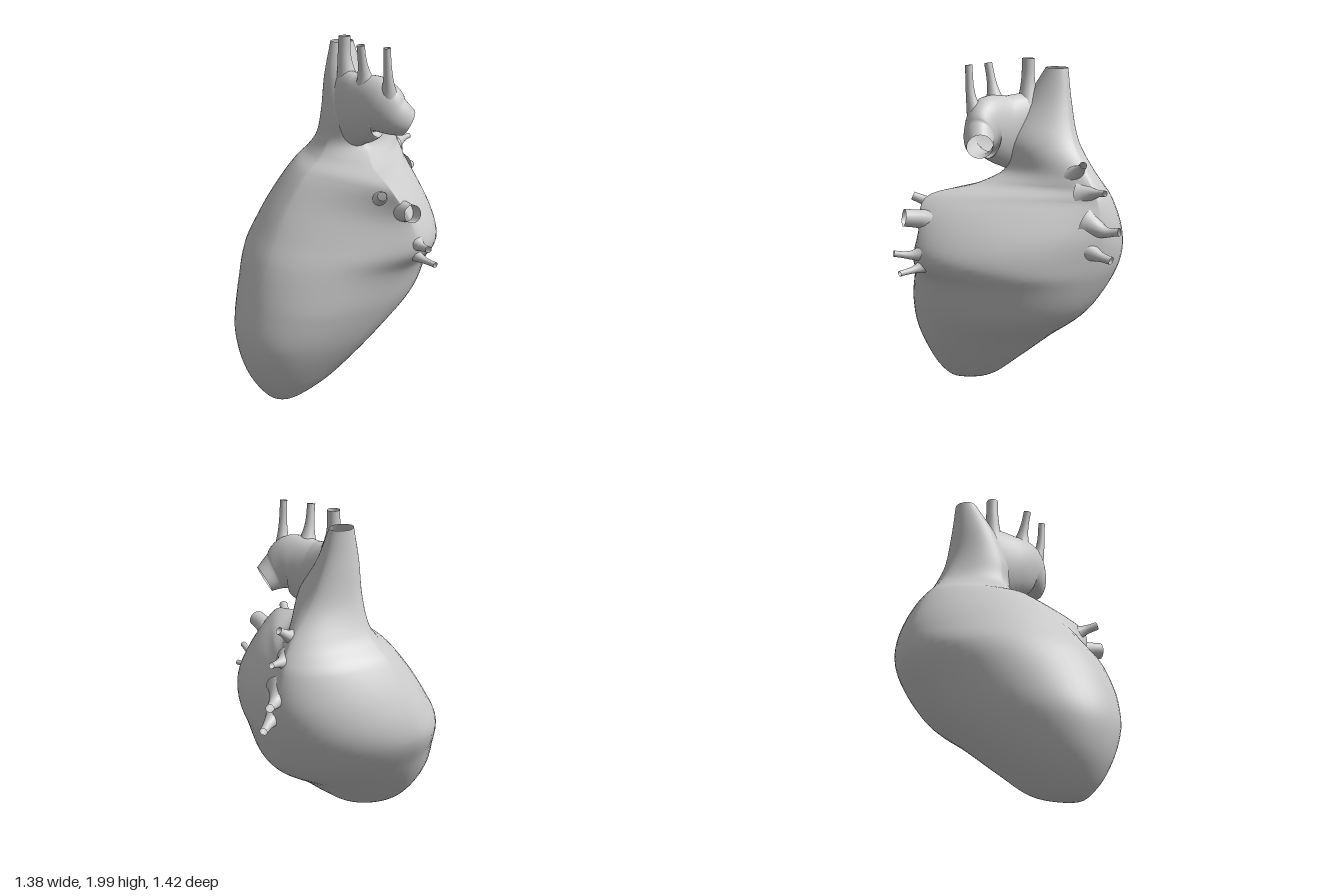
import * as THREE from 'three';

const material = new THREE.MeshStandardMaterial({ color: 0xcccccc, side: THREE.DoubleSide });

// Smooth skin over closed rings of points
function loft(name, rings) {
  const n = rings[0].length, index = [];
  for (let i = 0; i < rings.length - 1; i++) {
    for (let j = 0; j < n; j++) {
      const a = i * n + j, b = i * n + (j + 1) % n;
      index.push(a, b, b + n, a, b + n, a + n);
    }
  }
  const geometry = new THREE.BufferGeometry().setFromPoints(rings.flat());
  geometry.setIndex(index);
  geometry.computeVertexNormals();
  const mesh = new THREE.Mesh(geometry, material);
  mesh.name = name;
  return mesh;
}

// Open tube along a path; radii(t) gives [sideways, upward] radius
function vessel(name, path, radii, sides = 20, steps = 16) {
  const curve = new THREE.CatmullRomCurve3(path.map(p => new THREE.Vector3(...p)));
  const span = curve.getPoint(1).sub(curve.getPoint(0)).normalize();
  const ref = Math.abs(span.y) > 0.7 ? new THREE.Vector3(0, 0, 1) : new THREE.Vector3(0, 1, 0);
  const rings = [];
  for (let i = 0; i <= steps; i++) {
    const t = i / steps, tangent = curve.getTangent(t), centre = curve.getPoint(t);
    const side = tangent.clone().cross(ref).normalize();
    const up = side.clone().cross(tangent);
    const [rs, ru] = radii(t);
    rings.push(Array.from({ length: sides }, (_, j) => {
      const a = j / sides * Math.PI * 2;
      return centre.clone().addScaledVector(side, rs * Math.cos(a)).addScaledVector(up, -ru * Math.sin(a));
    }));
  }
  return loft(name, rings);
}

// Heart body levels: y, then x,z of the right, front, left and back extremes,
// then the fullness of the left half (2 is round, 1 is flat)
const levels = [
  [0.00, 0, 0.49, 0, 0.49, 0, 0.49, 0, 0.49, 2],
  [0.02, -0.085, 0.47, 0, 0.55, 0.075, 0.47, 0, 0.39, 2],
  [0.10, -0.20, 0.42, 0, 0.625, 0.165, 0.42, 0, 0.175, 2.1],
  [0.22, -0.32, 0.34, 0, 0.685, 0.25, 0.34, 0, 0.015, 2.2],
  [0.40, -0.46, 0.22, 0, 0.71, 0.355, 0.22, -0.05, -0.20, 2.2],
  [0.60, -0.58, 0.10, 0, 0.66, 0.435, 0.11, -0.10, -0.46, 2.1],
  [0.80, -0.68, 0.03, -0.02, 0.575, 0.49, 0.04, -0.17, -0.56, 1.85],
  [0.93, -0.68, -0.02, -0.05, 0.49, 0.57, -0.03, -0.22, -0.595, 1.6],
  [1.08, -0.63, -0.05, -0.08, 0.38, 0.545, -0.005, -0.24, -0.61, 1.4],
  [1.25, -0.535, -0.08, -0.10, 0.23, 0.465, 0.07, -0.24, -0.575, 1.15],
  [1.32, -0.475, -0.10, -0.12, 0.12, 0.18, -0.02, -0.23, -0.54, 1.2],
  [1.40, -0.415, -0.12, -0.13, 0.06, 0.04, -0.10, -0.22, -0.48, 1.4],
  [1.55, -0.355, -0.13, -0.14, 0.04, 0.04, -0.09, -0.22, -0.35, 1.7],
  [1.75, -0.33, -0.14, -0.19, 0.00, -0.09, -0.10, -0.24, -0.265, 2],
  [1.94, -0.315, -0.145, -0.255, -0.075, -0.195, -0.15, -0.255, -0.215, 2],
];

function heartBody() {
  const corners = [1, 3, 5, 7].map(k =>
    new THREE.CatmullRomCurve3(levels.map(l => new THREE.Vector3(l[k], l[0], l[k + 1]))));
  const rings = [], steps = 84, arc = 16, mix = THREE.MathUtils.lerp;
  for (let i = 0; i <= steps; i++) {
    const f = i / steps * (levels.length - 1), low = Math.min(levels.length - 2, Math.floor(f));
    const fullness = mix(levels[low][9], levels[low + 1][9], f - low);
    // Right front is fuller low down; left back is flattened throughout
    const power = [0.4 * fullness + 1.08, fullness, Math.min(fullness, 1.75), 1.78];
    const p = corners.map(c => c.getPoint(i / steps)), ring = [];
    for (let q = 0; q < 4; q++) {
      const a = p[q], b = p[(q + 1) % 4];
      for (let j = 0; j < arc; j++) {
        // Quarter of a superellipse from one extreme to the next
        const angle = j / arc * Math.PI / 2;
        const c = Math.pow(Math.cos(angle), 2 / power[q]);
        const s = Math.pow(Math.sin(angle), 2 / power[q]);
        const y = mix(a.y, b.y, j / arc);
        ring.push(q % 2 === 0
          ? new THREE.Vector3(mix(b.x, a.x, c), y, mix(a.z, b.z, s))
          : new THREE.Vector3(mix(a.x, b.x, s), y, mix(b.z, a.z, c)));
      }
    }
    rings.push(ring);
  }
  return loft('heartBody', rings);
}

export function createModel() {
  const group = new THREE.Group();
  group.add(heartBody());

  // Aortic arch: thick sheet growing out of the trunk, bending back to an open round end
  const archRadii = [[0.05, 0.26], [0.09, 0.235], [0.10, 0.195], [0.10, 0.165], [0.085, 0.11], [0.07, 0.078]];
  group.add(vessel('aorticArch', [
    [-0.25, 1.57, -0.12], [-0.12, 1.58, -0.075], [0.03, 1.605, -0.06],
    [0.16, 1.635, -0.085], [0.235, 1.59, -0.13], [0.27, 1.55, -0.195],
  ], t => {
    const f = t * 5, i = Math.min(4, Math.floor(f));
    return [0, 1].map(k => THREE.MathUtils.lerp(archRadii[i][k], archRadii[i + 1][k], f - i));
  }, 32, 40));

  // Small vessels: name, path, end radius, extra radius at the flared root
  const branches = [
    ['archBranch', [[-0.11, 1.73, -0.075], [-0.12, 1.87, -0.06], [-0.12, 1.99, -0.06]], 0.034, 0.035],
    ['archBranch', [[0.085, 1.73, -0.055], [0.09, 1.85, -0.025], [0.10, 1.97, 0]], 0.022, 0.05],
    ['archBranch', [[0.22, 1.64, -0.105], [0.25, 1.80, -0.07], [0.255, 1.97, -0.055]], 0.02, 0.06],
    ['leftVein', [[0.34, 1.17, 0.06], [0.42, 1.215, 0.11], [0.49, 1.25, 0.16]], 0.024, 0.07],
    ['leftVein', [[0.40, 1.11, -0.01], [0.51, 1.145, 0.025], [0.605, 1.16, 0.05]], 0.048, 0.05],
    ['leftVein', [[0.48, 0.98, -0.04], [0.59, 0.965, -0.02], [0.69, 0.98, 0.01]], 0.017, 0.08],
    ['leftVein', [[0.46, 0.92, -0.03], [0.58, 0.89, -0.035], [0.685, 0.88, -0.045]], 0.015, 0.07],
    ['backVein', [[-0.18, 1.38, -0.40], [-0.18, 1.43, -0.48], [-0.17, 1.46, -0.52]], 0.02, 0.05],
    ['backVein', [[-0.20, 1.29, -0.48], [-0.22, 1.31, -0.57], [-0.23, 1.32, -0.635]], 0.016, 0.06],
    ['backVein', [[-0.20, 1.14, -0.53], [-0.24, 1.11, -0.63], [-0.28, 1.12, -0.70]], 0.022, 0.07],
    ['backVein', [[-0.17, 1.01, -0.52], [-0.20, 0.985, -0.63], [-0.23, 0.97, -0.70]], 0.022, 0.07],
  ];
  for (const [name, path, r, flare] of branches) {
    group.add(vessel(name, path, t => {
      const radius = r + flare * Math.pow(1 - t, 3);
      return [radius, radius];
    }));
  }
  return group;
}
